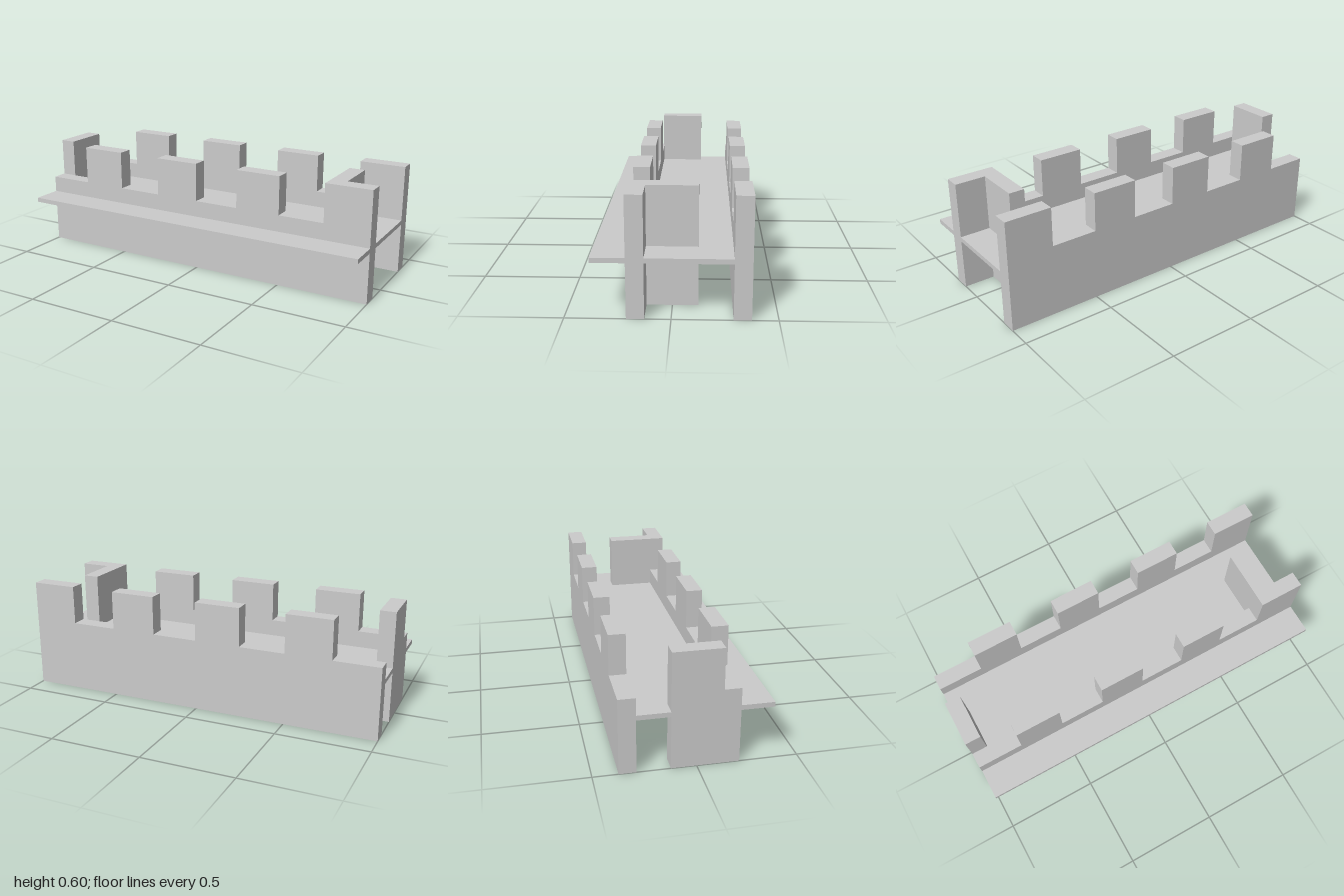
import * as THREE from 'three';

const material = new THREE.MeshStandardMaterial({ color: 0xcccccc, flatShading: true });

const WALL = 0.085;   // wall thickness
const TOP = 0.6;      // merlon height
const CRENEL = 0.39;  // height of the gaps between merlons
const STEP = 0.25;    // merlon and gap width
const FLOOR_Y = 0.275, FLOOR_T = 0.025;
const BACK_Z = -0.375, FRONT_Z = 0.125; // back side of each long wall

function addMesh(group, name, geometry) {
  const mesh = new THREE.Mesh(geometry, material);
  mesh.name = name;
  group.add(mesh);
  return mesh;
}

function addBox(group, name, [x0, x1], [y0, y1], [z0, z1]) {
  const box = new THREE.BoxGeometry(x1 - x0, y1 - y0, z1 - z0);
  addMesh(group, name, box).position.set((x0 + x1) / 2, (y0 + y1) / 2, (z0 + z1) / 2);
}

// Long wall outline: gaps and merlons alternate, ending with a merlon at +x
function battlementGeometry() {
  const shape = new THREE.Shape();
  shape.moveTo(-1, 0);
  shape.lineTo(1, 0);
  for (let i = 7; i >= 0; i--) {
    const y = i % 2 ? TOP : CRENEL;
    shape.lineTo(-1 + (i + 1) * STEP, y);
    shape.lineTo(-1 + i * STEP, y);
  }
  shape.closePath();
  return new THREE.ExtrudeGeometry(shape, { depth: WALL, bevelEnabled: false });
}

// Walkway slab between the walls, notched around the flush end wall
function walkwayGeometry() {
  const back = BACK_Z + WALL, notchX = -1 + WALL;
  const outline = [[-1, back], [1, back], [1, FRONT_Z], [notchX, FRONT_Z], [notchX, -0.125], [-1, -0.125]];
  // shape y is -z, so that the extrusion can be laid flat
  const shape = new THREE.Shape(outline.map(([x, z]) => new THREE.Vector2(x, -z)));
  const geometry = new THREE.ExtrudeGeometry(shape, { depth: FLOOR_T, bevelEnabled: false });
  return geometry.rotateX(-Math.PI / 2).translate(0, FLOOR_Y, 0);
}

export function createModel() {
  const group = new THREE.Group();
  group.name = 'battlementWall';

  // Long crenellated walls
  const wall = battlementGeometry();
  addMesh(group, 'frontWall', wall).position.z = FRONT_Z;
  addMesh(group, 'backWall', wall).position.z = BACK_Z;

  // Cross walls reaching back from the front wall
  for (const [name, x] of [['rightCrossWall', -1], ['leftCrossWall', 0.75]]) {
    addBox(group, name, [x, x + WALL], [0, TOP], [-0.125, FRONT_Z]);
  }

  // Walkway and the ledge on the outer side of the front wall
  addMesh(group, 'walkway', walkwayGeometry());
  addBox(group, 'frontLedge', [-1, 1], [FLOOR_Y, FLOOR_Y + FLOOR_T], [FRONT_Z + WALL, 0.375]);

  return group;
}
